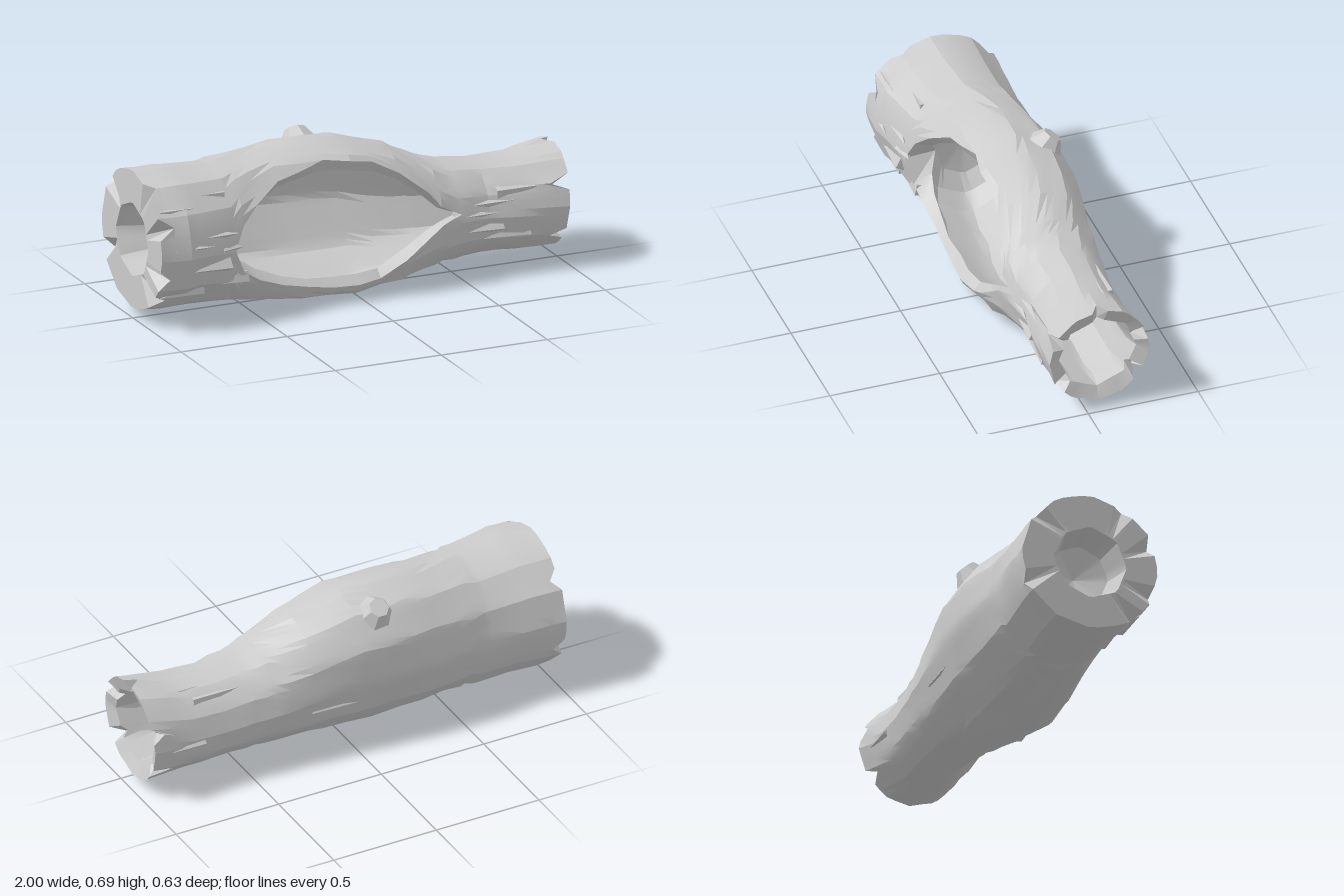
import * as THREE from 'three';
import { toCreasedNormals } from 'three/addons/utils/BufferGeometryUtils.js';

// x, bottom, top, back z, front z, shear, inner scale, front roundness (1 = ellipse, less = fuller)
const SECTIONS = [
  [-1, 0.045, 0.665, -0.318, 0.305, 0, 0.52, 1],
  [-0.86, 0.045, 0.662, -0.312, 0.3, 0, 0.42, 1],
  [-0.8, 0.045, 0.657, -0.307, 0.285, 0, 0, 1],
  [-0.66, 0.04, 0.652, -0.297, 0.26, 0.03, 0, 0.95],
  [-0.62, 0.04, 0.65, -0.293, 0.25, 0.04, 0.65, 0.9],
  [-0.5, 0.025, 0.655, -0.295, 0.235, 0.1, 0.8, 0.8],
  [-0.2, 0, 0.683, -0.315, 0.255, 0.15, 0.83, 0.72],
  [0, 0.002, 0.668, -0.305, 0.255, 0.15, 0.83, 0.72],
  [0.2, 0.025, 0.605, -0.288, 0.22, 0.12, 0.81, 0.75],
  [0.42, 0.055, 0.51, -0.272, 0.175, 0.05, 0.76, 0.9],
  [0.62, 0.062, 0.478, -0.262, 0.14, 0, 0.73, 1],
  [0.78, 0.055, 0.478, -0.262, 0.16, 0, 0.73, 1],
  [0.985, 0.05, 0.515, -0.282, 0.17, 0, 0.74, 1],
];
// x, lower edge, upper edge of the side opening
const OPENING = [
  [-1, 0.34, 0.34], [-0.63, 0.33, 0.33], [-0.58, 0.22, 0.43], [-0.5, 0.17, 0.5], [-0.38, 0.12, 0.58],
  [-0.15, 0.075, 0.63], [0.08, 0.085, 0.59], [0.2, 0.16, 0.53], [0.32, 0.24, 0.43],
  [0.38, 0.285, 0.36], [0.48, 0.31, 0.31], [1, 0.28, 0.28],
];
const N = 41; // points around each arc

const hash = (a, b) => {
  const s = Math.sin(a * 127.1 + b * 311.7) * 43758.5453;
  return (s - Math.floor(s)) * 2 - 1;
};
// noise every fourth point, blended between, so facets stay broad
const bump = (row, k) => {
  const groups = (N - 1) / 4, n = Math.floor(k / 4);
  return THREE.MathUtils.lerp(hash(row, n % groups), hash(row, (n + 1) % groups), (k % 4) / 4);
};
// radius of a polygon of mean radius 1 at an angle
const polygon = (sides, angle) => {
  const half = Math.PI / sides, turn = THREE.MathUtils.euclideanModulo(angle, 2 * half) - half;
  return (1 + half * half / 3) * Math.cos(half) / Math.cos(turn);
};

// linear lookup in a table keyed by its first column
function sample(table, x) {
  let i = 0;
  while (i < table.length - 2 && x > table[i + 1][0]) i++;
  const a = table[i], b = table[i + 1];
  const t = THREE.MathUtils.clamp((x - a[0]) / (b[0] - a[0]), 0, 1);
  return a.map((v, k) => v + (b[k] - v) * t);
}

// point on the log at x and angle (0 = front, PI/2 = top)
function logPoint(x, angle, scale = 1) {
  const [, y0, y1, z0, z1, shear, , roundness] = sample(SECTIONS, x);
  const dy = (y1 - y0) / 2 * Math.sin(angle) * scale;
  const c = Math.cos(angle);
  const side = c > 0 ? Math.pow(c, roundness) : c;
  return new THREE.Vector3(x, (y0 + y1) / 2 + dy,
    (z0 + z1) / 2 + (z1 - z0) / 2 * side * scale - dy * shear);
}

function hollowLog() {
  const xs = [-1, -0.93, -0.86, -0.8, -0.66, -0.63, -0.58, -0.5, -0.38, -0.27, -0.15, -0.03, 0.08,
    0.2, 0.32, 0.38, 0.43, 0.48, 0.54, 0.62, 0.7, 0.78, 0.87, 0.985];
  const pos = [], index = [], last = xs.length - 1;
  // split depth by point number at each end
  const notches = {
    0: { 3: 0.07, 7: 0.04, 16: 0.04, 23: 0.05, 35: 0.06, 38: 0.05 },
    [last]: { 3: 0.09, 10: 0.05, 18: 0.06, 24: 0.09, 36: 0.07 },
  };
  // each section is a C: outer arc over the back, then inner arc returning
  xs.forEach((x, i) => {
    const [, y0, y1, , , , inner] = sample(SECTIONS, x);
    const [, low, high] = sample(OPENING, x);
    const toAngle = y => Math.asin(THREE.MathUtils.clamp((y - (y0 + y1) / 2) / ((y1 - y0) / 2), -1, 1));
    const from = toAngle(high), to = toAngle(low) + Math.PI * 2;
    for (let n = 0; n < 2 * N; n++) {
      const outer = n < N, k = outer ? n : 2 * N - 1 - n;
      const angle = from + (to - from) * k / (N - 1);
      const scale = outer
        ? polygon(12, angle) * (1 + 0.02 * bump(i, k))
        : inner * polygon(8, angle) * (1 + 0.015 * bump(i + 40, k));
      const p = logPoint(x, angle, scale);
      const cut = notches[i]?.[k] ?? 0;
      if (i === 0 && outer) p.x += cut;
      if (i === last) p.x += 0.012 * Math.sin(angle) - (outer ? cut : 0.025 + cut * 0.4);
      pos.push(p.x, Math.max(0, p.y), p.z);
    }
  });
  const at = (i, n) => i * 2 * N + n % (2 * N);
  for (let i = 0; i < last; i++) for (let n = 0; n < 2 * N; n++) {
    const a = at(i, n), b = at(i + 1, n), c = at(i, n + 1), d = at(i + 1, n + 1);
    index.push(a, b, c, b, d, c);
  }
  // cut faces at both ends
  for (let k = 0; k < N - 1; k++) for (const i of [0, last]) {
    const a = at(i, k), b = at(i, k + 1), c = at(i, 2 * N - 1 - k), d = at(i, 2 * N - 2 - k);
    if (i === 0) index.push(a, b, c, b, d, c);
    else index.push(a, c, b, b, c, d);
  }
  const g = new THREE.BufferGeometry();
  g.setAttribute('position', new THREE.Float32BufferAttribute(pos, 3));
  g.setIndex(index);
  return toCreasedNormals(g, 0.3);
}

export function createModel() {
  const group = new THREE.Group();
  const smooth = new THREE.MeshStandardMaterial({ color: 0xcccccc });
  const faceted = new THREE.MeshStandardMaterial({ color: 0xcccccc, flatShading: true });
  const add = (geometry, material, name) => {
    const mesh = new THREE.Mesh(geometry, material);
    mesh.name = name;
    group.add(mesh);
    return mesh;
  };
  add(hollowLog(), smooth, 'hollowLog');

  // broken branch stub on the upper back
  const stub = add(new THREE.CylinderGeometry(0.045, 0.1, 0.09, 7), faceted, 'branchStub');
  stub.position.set(-0.13, 0.628, -0.212);
  stub.rotation.x = -0.65;

  // bark splinters lying along the surface: x, angle in degrees, length, width
  const splinters = [
    [-0.85, 5, 0.22, 0.05], [-0.78, -15, 0.24, 0.08], [-0.7, 12, 0.18, 0.07], [-0.66, -32, 0.2, 0.07],
    [-0.9, 38, 0.16, 0.05], [-0.74, 48, 0.18, 0.04], [-0.64, 0, 0.1, 0.08], [-0.88, -40, 0.22, 0.06],
    [0.55, 5, 0.2, 0.06], [0.58, -14, 0.2, 0.07], [0.66, 18, 0.22, 0.06], [0.7, -25, 0.22, 0.08],
    [0.78, 32, 0.24, 0.07], [0.62, 130, 0.26, 0.07], [0.8, 115, 0.18, 0.04], [0.1, 195, 0.22, 0.04],
    [-0.4, 205, 0.24, 0.04], [-0.75, 150, 0.2, 0.03], [0.82, 185, 0.18, 0.05],
  ];
  splinters.forEach(([x, degrees, length, width], i) => {
    const a = THREE.MathUtils.degToRad(degrees);
    const g = new THREE.ConeGeometry(width / 2, length, 4);
    g.rotateZ(i % 2 ? Math.PI / 2 - 0.12 : -Math.PI / 2 + 0.12);
    const mesh = add(g, faceted, 'barkSplinter');
    mesh.position.copy(logPoint(x, a, 0.97));
    mesh.rotation.x = Math.PI / 2 - a;
  });
  return group;
}
